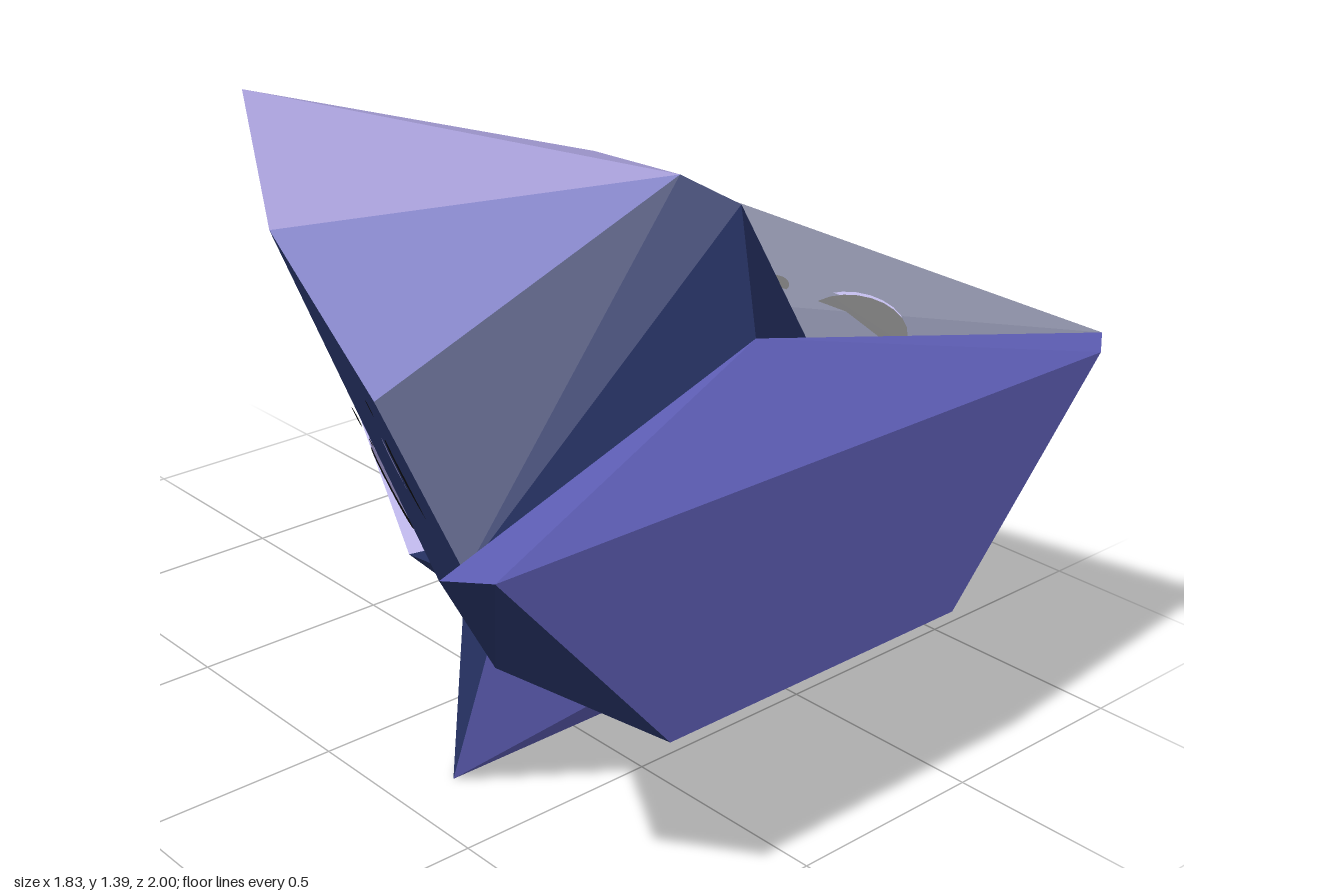
import * as THREE from 'three';

const mat = (name, color) => {
  const m = new THREE.MeshStandardMaterial({ color, side: THREE.DoubleSide, flatShading: true });
  m.name = name;
  return m;
};

// Corner points of the +x half; x = 0 points lie on the centre line
const P = {
  tail: [0, 1.245, -1], crest: [0, 1.39, 0.56], brow: [0, 1.37, 0.73], lip: [0, 1.11, 0.785],
  shoulder: [0.465, 1.178, -0.205], hollowBack: [0.475, 0.905, 0.17], hollowFront: [0.555, 0.69, 0.565],
  wing: [0.917, 0.945, 0.945], noseTop: [0.84, 0.935, 1], noseTopMid: [0, 0.935, 1],
  noseLow: [0.41, 0.457, 1], noseLowMid: [0, 0.457, 1], cheek: [0.715, 0.663, 0.85],
  neck: [0.378, 0.55, 0.47], ledgeIn: [0.108, 0.48, 0.14], ledgeOut: [0.285, 0.44, 0.03],
  keel: [0, 0.18, -0.13], footTop: [0.21, 0.285, 0.58], footTopMid: [0, 0.285, 0.58],
  foot: [0.355, 0, 0.27], footMid: [0, 0, 0.27], footInner: [0.212, 0.485, 0.352],
};

// Mesh from fans of corners on the +x side, mirrored to the -x side
function facets(name, material, ...fans) {
  const pos = [];
  for (const fan of fans) {
    const c = fan.map((k) => (typeof k === 'string' ? P[k] : k));
    for (let i = 1; i < c.length - 1; i++) {
      const tri = [c[0], c[i], c[i + 1]];
      for (const p of tri) pos.push(...p);
      for (const p of [tri[0], tri[2], tri[1]]) pos.push(-p[0], p[1], p[2]);
    }
  }
  const g = new THREE.BufferGeometry();
  g.setAttribute('position', new THREE.Float32BufferAttribute(pos, 3));
  g.computeVertexNormals();
  const mesh = new THREE.Mesh(g, material);
  mesh.name = name;
  return mesh;
}

// Elliptical fan lying on the plane through three corners, given its side outline in z and y
function oval(corners, z, y, rz, ry, tilt, lift) {
  const [a, b, c] = corners.map((k) => new THREE.Vector3(...P[k]));
  const n = b.clone().sub(a).cross(c.clone().sub(a)).normalize();
  if (n.x < 0) n.negate();
  const ring = [];
  for (let i = 0; i < 24; i++) {
    const t = (i / 24) * Math.PI * 2, u = Math.cos(t) * rz, v = Math.sin(t) * ry;
    const pz = z + u * Math.cos(tilt) + v * Math.sin(tilt);
    const py = y - u * Math.sin(tilt) + v * Math.cos(tilt);
    const px = a.x - (n.y * (py - a.y) + n.z * (pz - a.z)) / n.x;
    ring.push([px + n.x * lift, py + n.y * lift, pz + n.z * lift]);
  }
  return ring;
}

export function createModel() {
  const navy = mat('navy', 0x263264);
  const indigo = mat('indigo', 0x5d5db4);
  const lavender = mat('lavender', 0xa59dd6);
  const black = mat('black', 0x0b0b0e);
  const model = new THREE.Group();
  model.name = 'facetedShard';

  model.add(
    // upper body
    facets('topPlate', lavender, ['tail', 'crest', 'shoulder']),
    facets('crestSides', indigo, ['crest', 'hollowBack', 'shoulder']),
    facets('crestFront', navy, ['crest', 'brow', 'hollowFront', 'hollowBack'], ['brow', 'lip', 'hollowFront']),
    facets('lipTop', indigo, ['lip', 'wing', 'hollowFront'],
      ['lip', 'noseTop', 'wing'], ['lip', 'noseTopMid', 'noseTop']),
    // thin side wings
    facets('sideWings', navy, ['wing', 'cheek', 'hollowFront', 'hollowBack', 'shoulder']),
    facets('sidePanels', indigo,
      ['ledgeIn', 'tail', 'shoulder', 'hollowBack', 'hollowFront', 'cheek', 'neck']),
    // nose block
    facets('noseFace', indigo, ['noseTopMid', 'noseLowMid', 'noseLow', 'noseTop']),
    facets('noseCorners', navy, ['noseTop', 'noseLow', 'cheek', 'wing'], ['noseLow', 'footTop', 'neck', 'cheek']),
    facets('noseUnderside', indigo, ['noseLowMid', 'footTopMid', 'footTop', 'noseLow']),
    // rear keel and its ledge
    facets('keelLedge', lavender, ['tail', 'ledgeIn', 'ledgeOut']),
    facets('rearKeel', navy, ['tail', 'ledgeOut', 'keel'], ['ledgeOut', 'neck', 'keel'],
      ['ledgeIn', 'neck', 'ledgeOut']),
    // foot
    facets('footFront', indigo, ['footTopMid', 'footMid', 'foot', 'footTop']),
    facets('footSides', indigo, ['neck', 'footTop', 'foot', 'footInner']),
    facets('footBack', navy, ['footInner', 'foot', 'keel'], ['foot', 'footMid', 'keel']),
  );

  // dark pits with pale rims: plane corners, z, y, radii, tilt, and whether both sides show
  const wing = ['wing', 'shoulder', 'cheek'];
  const panel = ['tail', 'shoulder', 'cheek'];
  const keel = ['tail', 'ledgeOut', 'keel'];
  const pits = [
    [wing, 0.48, 0.88, 0.112, 0.068, 0.15, true],
    [wing, 0.29, 0.95, 0.028, 0.017, 0.15, true],
    [wing, 0.315, 0.895, 0.016, 0.013, 0, true],
    [panel, -0.58, 1.137, 0.027, 0.018, 0, false],
    [keel, -0.35, 0.605, 0.04, 0.06, -0.5, false],
    [keel, -0.435, 0.66, 0.014, 0.02, -0.4, false],
  ];
  const dark = [], pale = [];
  for (const [plane, z, y, rz, ry, tilt, both] of pits) {
    for (const s of both ? [1, -1] : [1]) {
      const base = plane === wing ? 0.012 : 0.003;
      dark.push(oval(plane, z, y, rz, ry, tilt, s * (base + 0.003)));
      if (ry > 0.03) pale.push(oval(plane, z - 0.006, y + 0.006, rz, ry, tilt, s * base));
    }
  }
  model.add(facets('pits', black, ...dark), facets('pitRims', lavender, ...pale));
  return model;
}
